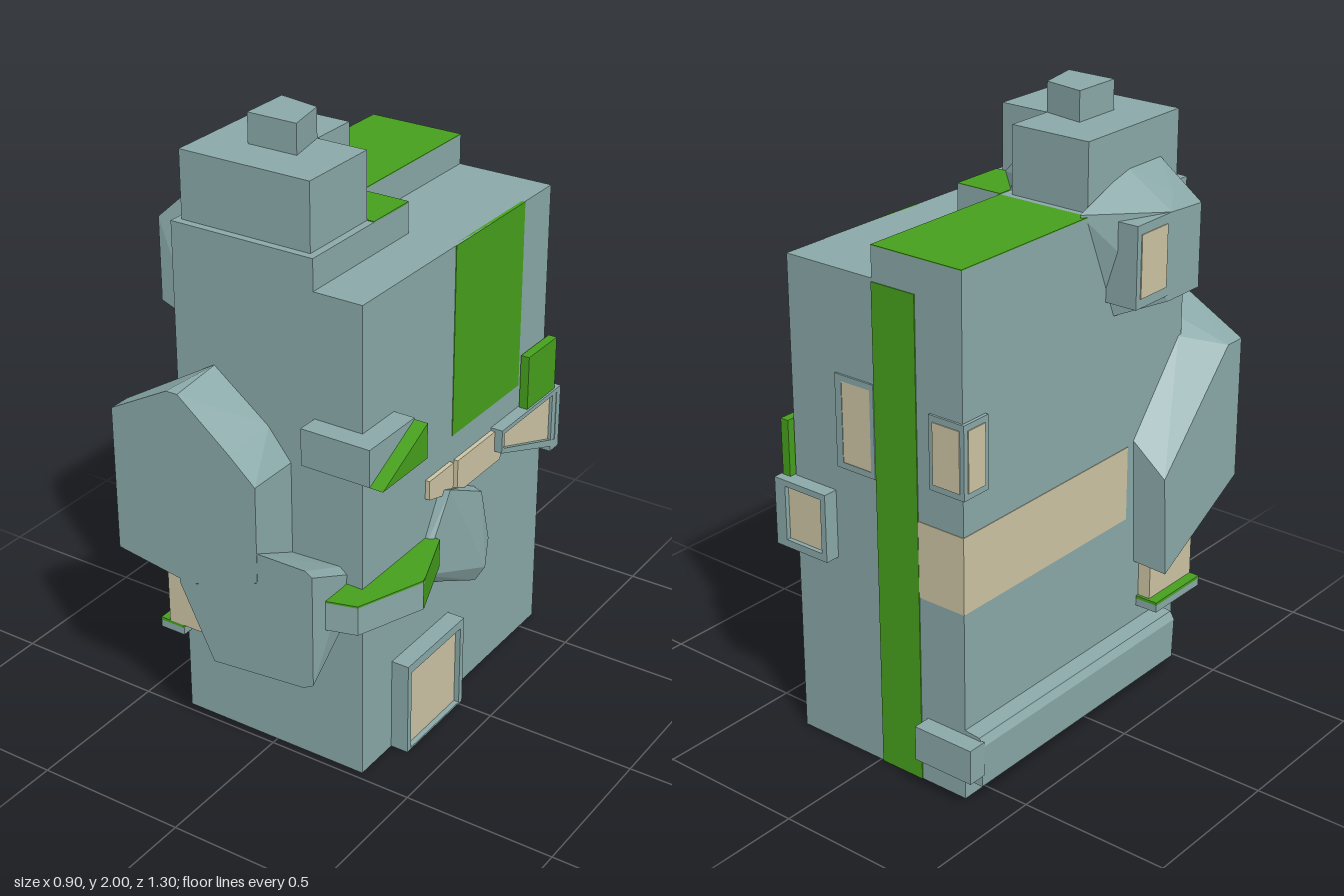
import * as THREE from 'three';
import { ConvexGeometry } from 'three/addons/geometries/ConvexGeometry.js';

const mat = (color) => new THREE.MeshStandardMaterial({ color, flatShading: true });

export function createModel() {
  const root = new THREE.Group();
  const wall = mat(0x8aa8a8), green = mat(0x46a01c), tan = mat(0xccc4a4);

  const add = (name, geometry, material) => {
    const m = new THREE.Mesh(geometry, material);
    m.name = name;
    root.add(m);
    return m;
  };
  // Box given by its extents on each axis
  const box = (name, [x0, x1], [y0, y1], [z0, z1], material = wall) =>
    add(name, new THREE.BoxGeometry(x1 - x0, y1 - y0, z1 - z0)
      .translate((x0 + x1) / 2, (y0 + y1) / 2, (z0 + z1) / 2), material);
  // Faceted solid around a few corner points
  const hull = (name, pts, material = wall) =>
    add(name, new ConvexGeometry(pts.map((p) => new THREE.Vector3(...p))), material);
  const shapeOf = (pts) => new THREE.Shape(pts.map((p) => new THREE.Vector2(...p)));
  // Raised rim with a sunken panel; outlines lie in a plane that faces +x or -z
  const framed = (name, outer, inner, depth, face, at) => {
    const g = new THREE.Group();
    g.name = name;
    const rim = shapeOf(outer);
    rim.holes.push(shapeOf(inner));
    const frame = new THREE.Mesh(new THREE.ExtrudeGeometry(rim, { depth, bevelEnabled: false }), wall);
    const panel = new THREE.Mesh(
      new THREE.ExtrudeGeometry(shapeOf(inner), { depth: depth * 0.7, bevelEnabled: false }), tan);
    frame.name = name + 'Frame';
    panel.name = name + 'Panel';
    g.add(frame, panel);
    g.rotation.y = face === 'right' ? Math.PI / 2 : Math.PI;
    g.position[face === 'right' ? 'x' : 'z'] = at;
    root.add(g);
  };
  const rect = (a, b, c, d) => [[a, c], [b, c], [b, d], [a, d]];

  // Main block and stepped roof
  box('mainBlock', [-0.34, 0.32], [0, 1.59], [-0.59, 0.475]);
  box('frontRoofStep', [-0.34, 0.155], [1.59, 1.69], [-0.02, 0.475]);
  box('rearRoofStep', [-0.34, -0.01], [1.59, 1.687], [-0.59, -0.02]);
  box('rearRoofGrass', [-0.34, -0.01], [1.687, 1.69], [-0.59, -0.02], green);
  box('sideRoofGrass', [-0.01, 0.155], [1.687, 1.692], [-0.02, 0.165], green);

  // Roof hut, cap and small rock
  box('roofHut', [-0.32, 0.13], [1.69, 1.905], [0.165, 0.45]);
  box('roofHutRear', [-0.32, -0.04], [1.69, 1.905], [0, 0.165]);
  const cap = [[-0.18, 0.14], [-0.04, 0.165], [-0.01, 0.31], [-0.18, 0.31]];
  hull('roofCap', [1.905, 2].flatMap((y) => cap.map(([x, z]) => [x, y, z])));
  hull('roofRock', [
    [-0.04, 1.79, 0.17], [0.03, 1.79, 0.17], [-0.04, 1.74, 0.05], [-0.01, 1.735, 0.05],
    [-0.04, 1.69, 0.03], [-0.01, 1.69, 0.03], [0.12, 1.69, 0.165],
  ]);

  // Rock and window box high on the right-hand wall
  hull('upperSideRock', [
    [-0.45, 1.38, 0.24], [-0.45, 1.66, 0.24], [-0.45, 1.38, 0.395], [-0.45, 1.65, 0.395],
    [-0.41, 1.7, 0.3], [-0.315, 1.78, 0.2], [-0.315, 1.78, 0.36], [-0.33, 1.7, -0.05],
    [-0.3, 1.69, 0.01], [-0.33, 1.34, 0.1], [-0.33, 1.34, 0.4],
  ]);
  box('sideWindowBox', [-0.45, -0.34], [1.4, 1.66], [0.07, 0.24]);
  box('sideWindowPanel', [-0.453, -0.44], [1.43, 1.63], [0.09, 0.22], tan);

  // Large rocks on the front
  hull('upperFrontRock', [
    [-0.45, 1.13, 0.655], [-0.24, 1.245, 0.655], [-0.2, 1.245, 0.655], [-0.02, 1.1, 0.655],
    [0.07, 1.02, 0.655], [0.07, 0.7, 0.655], [-0.18, 0.61, 0.655], [-0.45, 0.65, 0.655],
    [-0.45, 1.13, 0.58], [-0.34, 1.17, 0.46], [-0.2, 1.265, 0.47], [-0.01, 1.12, 0.47],
    [0.07, 1.02, 0.47], [0.07, 0.65, 0.47], [-0.18, 0.5, 0.47],
    [-0.45, 0.44, 0.27], [-0.45, 0.78, 0.25], [-0.33, 0.9, 0.23], [-0.33, 0.46, 0.25],
  ]);
  hull('lowerFrontRock', [
    [-0.22, 0.72, 0.654], [0.07, 0.8, 0.654], [0.24, 0.8, 0.654], [0.265, 0.785, 0.654],
    [0.265, 0.41, 0.654], [0.23, 0.39, 0.654], [-0.1, 0.36, 0.654], [-0.22, 0.6, 0.654],
    [-0.18, 0.7, 0.47], [0.24, 0.72, 0.47], [0.265, 0.7, 0.47], [0.25, 0.52, 0.47], [-0.12, 0.5, 0.47],
  ]);

  // Corner window below the front rocks, with a mossy sill
  hull('cornerWindow', [0.28, 0.51].flatMap((z) => [
    [-0.385, 0.53, z], [-0.19, 0.47, z], [-0.255, 0.325, z], [-0.385, 0.325, z],
  ]), tan);
  box('cornerSill', [-0.42, -0.33], [0.29, 0.315], [0.27, 0.51]);
  box('cornerSillMoss', [-0.42, -0.33], [0.315, 0.325], [0.27, 0.51], green);

  // Mossy ledge bending round the front corner
  const ledge = [[0.22, 0.6], [0.36, 0.56], [0.445, 0.335], [0.36, 0.11], [0.3, 0.1], [0.22, 0.46]];
  const ledgeAt = (...ys) => ys.flatMap((y) => ledge.map(([x, z]) => [x, y, z]));
  hull('cornerLedge', ledgeAt(0.57, 0.664));
  hull('cornerLedgeMoss', ledgeAt(0.664, 0.67), green);
  hull('cornerLedgeMossEnd', [0.572, 0.67].flatMap((y) =>
    [[0.447, y, 0.335], [0.362, y, 0.108], [0.34, y, 0.12]]), green);

  // Upper corner bracket with a green wedge
  box('cornerBracket', [0.155, 0.39], [1.07, 1.19], [0.31, 0.545]);
  hull('bracketWedge', [0.39, 0.435].flatMap((x) =>
    [[x, 1.07, 0.545], [x, 1.07, 0.31], [x, 1.185, 0.31]]), green);

  // Left-hand wall: rock, door, moss and window band
  hull('sideRock', [
    [0.31, 0.545, 0.2], [0.31, 0.8, 0.05], [0.31, 0.72, -0.16], [0.31, 0.52, -0.21], [0.31, 0.39, -0.13],
    [0.34, 0.565, 0.17], [0.355, 0.81, 0.04], [0.345, 0.7, -0.17], [0.355, 0.515, -0.205],
    [0.38, 0.445, -0.145], [0.35, 0.39, -0.135],
  ]);
  framed('door', rect(-0.31, 0.02, 0, 0.32), rect(-0.29, 0, 0.006, 0.29), 0.06, 'right', 0.32);
  box('sideMoss', [0.31, 0.322], [0.96, 1.59], [-0.425, -0.02], green);
  hull('smallSideWindow', [0.31, 0.335].flatMap((x) =>
    [[x, 0.875, 0.13], [x, 0.875, -0.01], [x, 0.77, -0.01], [x, 0.81, 0.13]]), tan);
  box('longSideWindow', [0.31, 0.335], [0.755, 0.87], [-0.3, -0.035], tan);
  framed('slopedWindow',
    [[0.26, 0.8], [0.64, 0.655], [0.64, 0.88], [0.26, 0.88]],
    [[0.275, 0.812], [0.615, 0.69], [0.615, 0.865], [0.275, 0.865]], 0.042, 'right', 0.32);
  box('mossPanel', [0.325, 0.355], [0.88, 1.065], [-0.61, -0.43], green);

  // Back wall
  framed('backCornerWindow', rect(-0.36, -0.155, 0.655, 0.88), rect(-0.335, -0.175, 0.68, 0.86), 0.05, 'back', -0.59);
  box('backMossStrip', [-0.17, -0.01], [0, 1.58], [-0.593, -0.58], green);
  framed('backWindow', rect(-0.14, 0.01, 0.965, 1.265), rect(-0.115, -0.005, 0.985, 1.245), 0.006, 'back', -0.59);
  box('edgeWindow', [-0.35, -0.22], [1.0, 1.235], [-0.597, -0.49]);
  box('edgeWindowBackPanel', [-0.335, -0.235], [1.02, 1.215], [-0.6, -0.58], tan);
  box('edgeWindowSidePanel', [-0.353, -0.33], [1.02, 1.215], [-0.58, -0.505], tan);

  // Plaster band round the rear corner
  box('plasterBand', [-0.342, -0.17], [0.63, 0.88], [-0.592, 0.2], tan);

  // Low ledge round the rear corner
  const section = (z) => [[-0.34, 0.07, z], [-0.405, 0.07, z], [-0.41, 0.21, z], [-0.395, 0.235, z], [-0.34, 0.24, z]];
  hull('baseLedgeSide', [...section(-0.59), ...section(0.39)]);
  box('baseLedgeBack', [-0.41, -0.195], [0.11, 0.225], [-0.65, -0.585]);

  return root;
}
